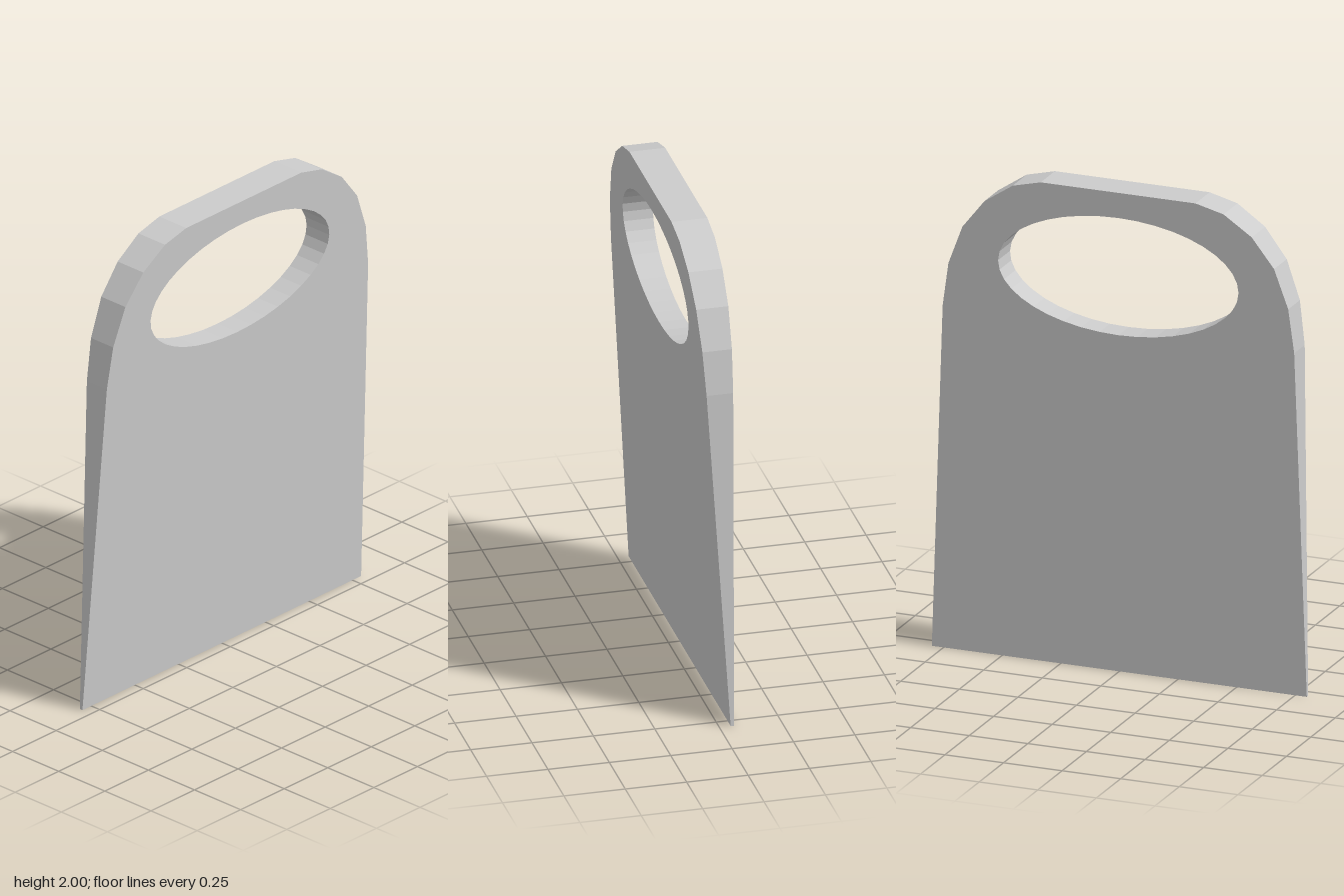
import * as THREE from 'three';

// Right half of the outline, bottom to top
const HALF = [[0.8, 0], [0.75, 1.43], [0.725, 1.61], [0.665, 1.77], [0.57, 1.89], [0.45, 1.97], [0.33, 2]];
const HOLE_SEGMENTS = 40;

export function createModel() {
  const group = new THREE.Group();
  group.name = 'wedgePlate';

  // Mirrored outline with an elliptical grip hole
  const mirrored = HALF.map(([x, y]) => [-x, y]).reverse();
  const shape = new THREE.Shape([...HALF, ...mirrored].map(([x, y]) => new THREE.Vector2(x, y)));
  const hole = [];
  for (let i = 0; i < HOLE_SEGMENTS; i++) {
    const a = -i / HOLE_SEGMENTS * Math.PI * 2;
    hole.push(new THREE.Vector2(0.513 * Math.cos(a), 1.65 + 0.245 * Math.sin(a)));
  }
  shape.holes.push(new THREE.Path(hole));

  // Taper the slab: thick at the top, thin at the bottom edge
  const geometry = new THREE.ExtrudeGeometry(shape, { depth: 1, bevelEnabled: false });
  const pos = geometry.attributes.position;
  for (let i = 0; i < pos.count; i++) {
    const t = pos.getY(i) / 2;
    const back = THREE.MathUtils.lerp(-0.06, -0.073, t);
    const front = THREE.MathUtils.lerp(-0.046, 0.073, t);
    pos.setZ(i, pos.getZ(i) > 0.5 ? front : back);
  }
  geometry.computeVertexNormals();

  const plate = new THREE.Mesh(geometry, new THREE.MeshStandardMaterial({ color: 0xcccccc, flatShading: true }));
  plate.name = 'taperedPlateWithGripHole';
  group.add(plate);
  return group;
}
